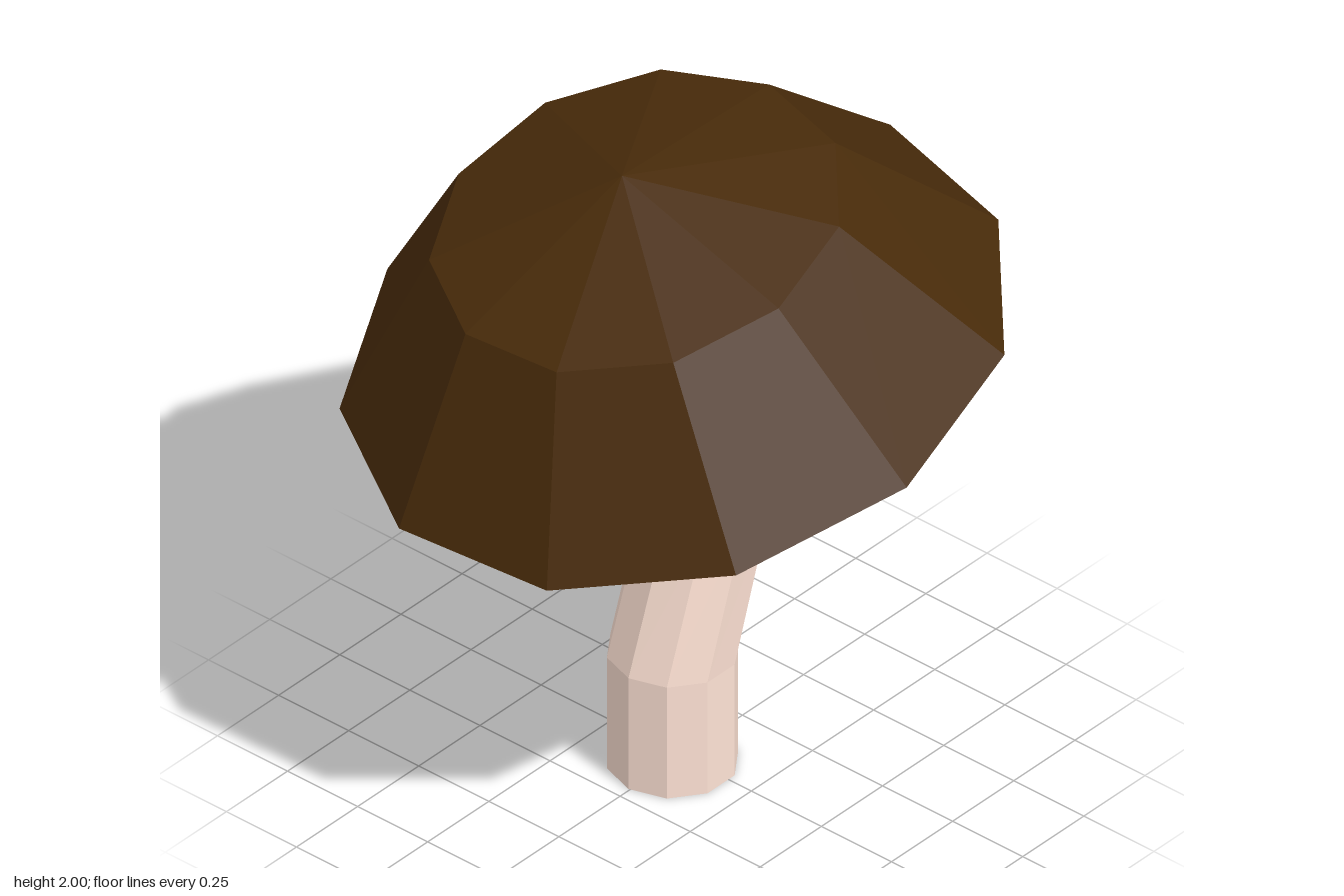
import * as THREE from 'three';

// Ring in the tilted plane y = cy + sx*x + sz*z (measured from its centre), turned by a small angle
function ring(sides, [rx, rz], [cx, cy, cz], sx = 0, sz = 0, turn = 0) {
  return Array.from({ length: sides }, (_, i) => {
    const a = (i / sides) * Math.PI * 2 + Math.PI + turn; // first corner at the back
    const x = Math.sin(a) * rx, z = Math.cos(a) * rz;
    return [cx + x, cy + sx * x + sz * z, cz + z];
  });
}

// Skin rings in order; a ring may be a single repeated point
function loft(name, rings, color) {
  const n = rings[0].length, index = [];
  for (let k = 0; k < rings.length - 1; k++) {
    for (let i = 0; i < n; i++) {
      const a = k * n + i, b = k * n + ((i + 1) % n);
      index.push(a, b, b + n, a, b + n, a + n);
    }
  }
  const geo = new THREE.BufferGeometry();
  geo.setAttribute('position', new THREE.Float32BufferAttribute(rings.flat(2), 3));
  geo.setIndex(index);
  const flat = geo.toNonIndexed();
  flat.computeVertexNormals();
  const mesh = new THREE.Mesh(flat, new THREE.MeshStandardMaterial({ color, flatShading: true }));
  mesh.name = name;
  return mesh;
}

const point = (n, p) => Array(n).fill(p);

export function createModel() {
  const model = new THREE.Group();
  model.name = 'mushroom';

  // Bent ten-sided stem, its top end hidden inside the cap
  const S = 10;
  model.add(loft('stem', [
    point(S, [-0.005, 0, 0.03]),
    ring(S, [0.182, 0.18], [-0.005, 0, 0.03]),
    ring(S, [0.182, 0.18], [-0.005, 0.365, 0.03]),
    ring(S, [0.183, 0.181], [0.026, 0.852, -0.089], 0.06, -0.17),
    ring(S, [0.18, 0.17], [0.007, 1.65, 0.125], 0.06, -0.28),
    point(S, [0.007, 1.65, 0.125]),
  ], 0xfee2d4));

  // Tilted eleven-sided cap: slightly recessed underside, steep skirt, shallow crown
  const C = 11, turn = 0.018;
  const capRing = (radii, centre, sz = -0.28) => ring(C, radii, centre, 0.057, sz, turn);
  model.add(loft('cap', [
    point(C, [-0.003, 1.44, 0.03]),
    capRing([0.882, 0.85], [0, 1.382, 0.016], -0.272),
    capRing([0.922, 0.89], [0, 1.356, 0.016]),
    capRing([0.568, 0.55], [-0.03, 1.823, 0.145]),
    point(C, [-0.037, 2, 0.2]),
  ], 0x482b0a));

  return model;
}
